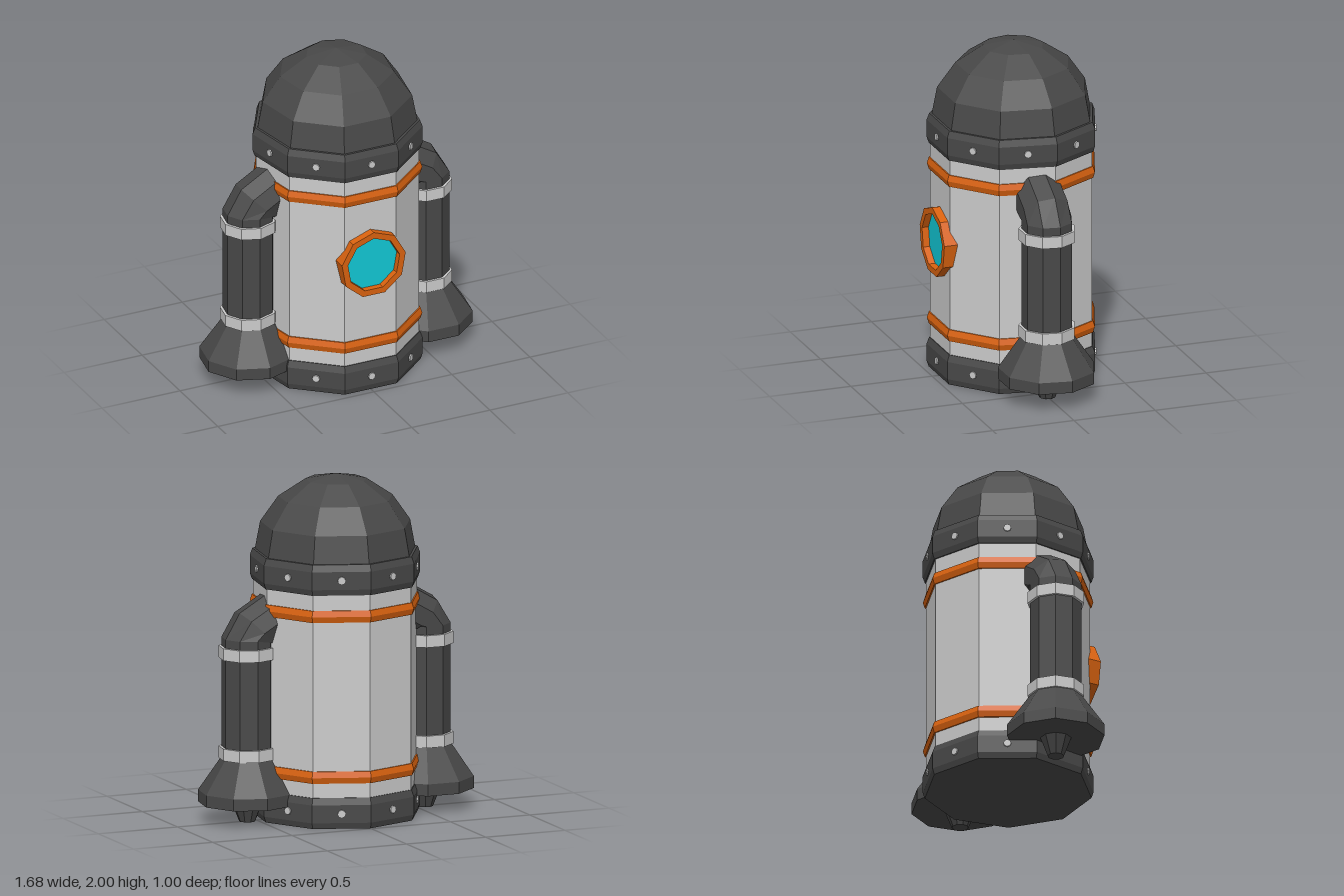
import * as THREE from 'three';

const SIDES = 9;
const PALETTE = { light: 0xcccccc, dark: 0x484848, orange: 0xd9620f, cyan: 0x12c8d6 };
const material = {};
for (const key in PALETTE) {
  material[key] = new THREE.MeshStandardMaterial({ color: PALETTE[key], flatShading: true });
}

function part(name, geometry, mat, parent) {
  const mesh = new THREE.Mesh(geometry, mat);
  mesh.name = name;
  parent.add(mesh);
  return mesh;
}

// Nine-sided turned shape with a corner at the back; profile is [radius, y] from bottom to top
function turned(profile) {
  const points = profile.map(([r, y]) => new THREE.Vector2(r, y));
  return new THREE.LatheGeometry(points, SIDES).rotateY(Math.PI);
}

// Pipe bend lofted through tilted rings: [x, y, tilt in degrees, radius]
function bend(rings) {
  const positions = [], index = [];
  rings.forEach(([x, y, tilt, r], i) => {
    const t = THREE.MathUtils.degToRad(tilt);
    for (let k = 0; k < SIDES; k++) {
      const a = -Math.PI / 2 + (k / SIDES) * Math.PI * 2;
      const out = r * Math.cos(a);
      positions.push(x + out * Math.cos(t), y + out * Math.sin(t), r * Math.sin(a));
      if (i === rings.length - 1) continue;
      const A = i * SIDES + k, B = i * SIDES + ((k + 1) % SIDES);
      index.push(A, A + SIDES, B, B, A + SIDES, B + SIDES);
    }
  });
  const geometry = new THREE.BufferGeometry();
  geometry.setAttribute('position', new THREE.Float32BufferAttribute(positions, 3));
  geometry.setIndex(index);
  geometry.computeVertexNormals();
  return geometry;
}

// Side booster at +x: bell, nozzle, pipe, clamps and elbow into the hull
function createBooster(name) {
  const group = new THREE.Group();
  group.name = name;
  const X = 0.56;
  const add = (label, profile, mat) => {
    part(label, turned(profile), mat, group).position.x = X;
  };
  add('nozzle', [[0, 0], [0.048, 0], [0.095, 0.12], [0, 0.12]], material.dark);
  add('bell', [[0, 0.11], [0.285, 0.11], [0.285, 0.18], [0.155, 0.37], [0, 0.37]], material.dark);
  add('pipe', [[0.15, 0.36], [0.15, 1.04]], material.dark);
  for (const y of [0.37, 0.96]) {
    add('clamp', [[0.148, y], [0.166, y], [0.166, y + 0.07], [0.148, y + 0.07]], material.light);
  }
  part('elbow', bend([
    [X, 1.03, 0, 0.15],
    [X, 1.08, 0, 0.15],
    [0.515, 1.125, 45, 0.15],
    [0.41, 1.187, 75, 0.15],
    [0.3, 1.2, 90, 0.15],
  ]), material.dark, group);
  return group;
}

export function createModel() {
  const model = new THREE.Group();
  model.name = 'capsule';

  // Hull and dome
  part('hull', turned([[0.48, 0.1], [0.48, 1.45]]), material.light, model);
  part('dome', turned([[0.472, 1.54], [0.44, 1.71], [0.335, 1.86], [0.178, 1.965], [0, 2]]),
    material.dark, model);

  // Dark collars with one rivet on each face
  for (const [name, y] of [['baseCollar', 0], ['domeCollar', 1.37]]) {
    part(name, turned([
      [0, y], [0.488, y], [0.5, y + 0.035], [0.5, y + 0.14], [0.485, y + 0.18], [0, y + 0.18],
    ]), material.dark, model);
    for (let i = 0; i < SIDES; i++) {
      const a = (i / SIDES) * Math.PI * 2;
      const rivet = new THREE.CylinderGeometry(0.022, 0.025, 0.03, 8)
        .rotateX(Math.PI / 2).translate(0, y + 0.09, 0.463).rotateY(a);
      part('rivet', rivet, material.light, model);
    }
  }

  // Orange bands with a ridge along the middle
  for (const y of [0.3, 1.245]) {
    part('band', turned([[0.475, y - 0.035], [0.488, y - 0.035], [0.499, y],
      [0.488, y + 0.035], [0.475, y + 0.035]]), material.orange, model);
  }

  // Round window on the front
  const windowGroup = new THREE.Group();
  windowGroup.name = 'window';
  windowGroup.position.y = 0.825;
  model.add(windowGroup);
  part('windowFrame', turned([
    [0.168, 0.41], [0.207, 0.41], [0.207, 0.5], [0.168, 0.5], [0.168, 0.41],
  ]).rotateX(Math.PI / 2), material.orange, windowGroup);
  part('windowGlass', turned([[0.172, 0.42], [0.172, 0.46], [0, 0.46]]).rotateX(Math.PI / 2),
    material.cyan, windowGroup);

  // Boosters on both sides, the second turned half round
  model.add(createBooster('leftBooster'));
  const right = createBooster('rightBooster');
  right.rotation.y = Math.PI;
  model.add(right);

  return model;
}
